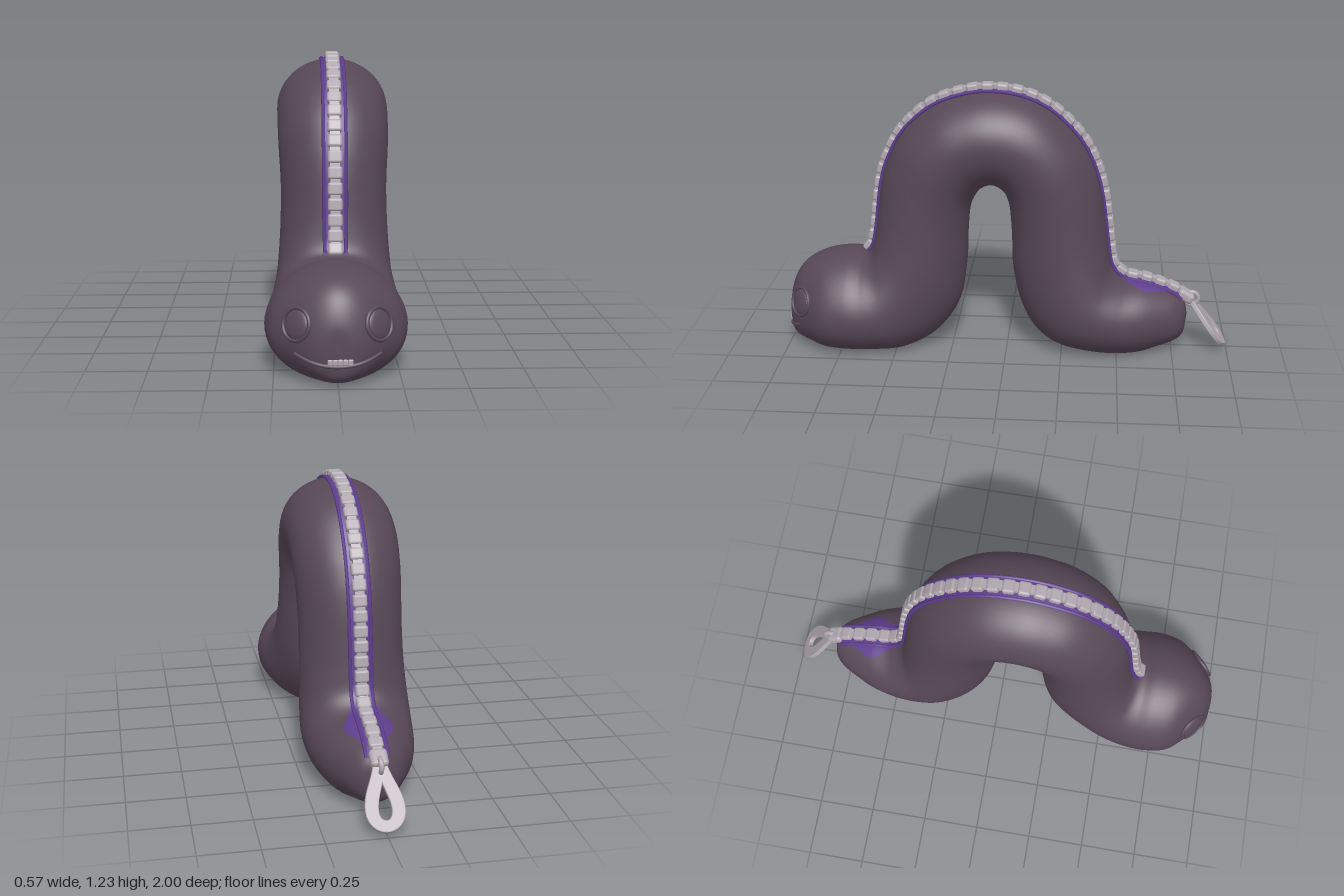
import * as THREE from 'three';
import { RoundedBoxGeometry } from 'three/addons/geometries/RoundedBoxGeometry.js';
import { ParametricGeometry } from 'three/addons/geometries/ParametricGeometry.js';

const mat = (name, color) => Object.assign(new THREE.MeshStandardMaterial({ color }), { name });

// Body cross-sections, head to tail: outer z, outer y, inner z, inner y, half width
const sections = [
  [.997, .15, .997, .14, .004], [.99, .25, .99, .05, .075], [.955, .335, .96, .015, .135],
  [.9, .39, .9, -.005, .195], [.82, .425, .82, -.02, .262], [.72, .44, .72, -.025, .284],
  [.65, .435, .6, -.025, .28], [.61, .47, .46, -.015, .262], [.59, .56, .32, .06, .24],
  [.575, .68, .22, .2, .228], [.56, .78, .185, .38, .222], [.53, .88, .178, .53, .222],
  [.46, 1.01, .165, .66, .23], [.34, 1.12, .13, .735, .235], [.21, 1.175, .1, .76, .237],
  [.08, 1.195, .07, .77, .238], [-.07, 1.175, .04, .76, .237], [-.2, 1.11, .01, .73, .235],
  [-.32, .99, -.01, .66, .23], [-.385, .87, -.02, .53, .225], [-.42, .75, -.025, .39, .224],
  [-.44, .62, -.06, .22, .228], [-.455, .5, -.13, .09, .236], [-.475, .4, -.24, .015, .24],
  [-.53, .345, -.42, -.02, .228], [-.62, .325, -.58, -.02, .195], [-.7, .3, -.69, .01, .15],
  [-.76, .275, -.76, .035, .112], [-.8, .24, -.8, .07, .07], [-.816, .165, -.816, .155, .004],
];
const last = sections.length - 1;
const spline = (pick) => new THREE.CatmullRomCurve3(sections.map(pick), false, 'catmullrom', 0.5);
const outerLine = spline((s) => new THREE.Vector3(0, s[1], s[0]));
const innerLine = spline((s) => new THREE.Vector3(s[4], s[3], s[2]));

// Point on the body skin at angle a (0 = along the spine) and path position v
function skin(a, v, lift, target) {
  const o = outerLine.getPoint(v), i = innerLine.getPoint(v);
  const w = i.x;
  i.x = 0;
  const mid = o.clone().add(i).multiplyScalar(0.5);
  const half = o.sub(mid);
  const c = Math.cos(a);
  const pear = 0.13 * (1 - THREE.MathUtils.smoothstep(v * last, 5, 9));
  target.copy(mid).addScaledVector(half, c * (1 + lift / half.length()));
  target.x = w * Math.sin(a) * (1 - pear * c);
  target.y = Math.max(target.y, 0);
}

export function createModel() {
  const group = new THREE.Group();
  const plum = mat('plum skin', 0x584857);
  const purple = mat('purple tape', 0x5d3c8c);
  const silver = mat('silver metal', 0xb0a8b0);
  const add = (name, geo, material, parent = group) => {
    const m = new THREE.Mesh(geo, material);
    m.name = name;
    parent.add(m);
    return m;
  };

  // Arched body
  const body = add('body', new ParametricGeometry(
    (u, v, t) => skin(u * Math.PI * 2, v, 0, t), 56, 150), plum);

  // Zip tape following the spine, wider above the tail
  const v0 = 6.4 / last, v1 = 27.6 / last;
  const tapeMat = purple;
  tapeMat.side = THREE.DoubleSide;
  add('zipTape', new ParametricGeometry((u, s, t) => {
    const v = v0 + (v1 - v0) * s;
    const k = v * last;
    const width = 0.053 + 0.05 * Math.exp(-(((k - 25) / 0.8) ** 2));
    const w = innerLine.getPoint(v).x;
    skin((u * 2 - 1) * Math.asin(Math.min(width / w, 0.9)), v, 0.008, t);
  }, 10, 130), tapeMat);

  // Raised cords at both sides of the zip
  for (const side of [-1, 1]) {
    const pts = [];
    for (let i = 0; i <= 60; i++) {
      const v = v0 + (v1 - v0) * i / 60, p = new THREE.Vector3();
      skin(side * Math.asin(Math.min(0.045 / innerLine.getPoint(v).x, 0.9)), v, 0.006, p);
      pts.push(p);
    }
    add('zipCord', new THREE.TubeGeometry(new THREE.CatmullRomCurve3(pts), 120, 0.008, 6), purple);
  }

  // Zip teeth with small links between them
  const track = new THREE.CatmullRomCurve3(
    Array.from({ length: 90 }, (_, i) => outerLine.getPoint(v0 + (v1 - v0) * i / 89)));
  const length = track.getLength();
  const count = Math.round(length / 0.063);
  const pitch = length / count;
  const toothGeo = new RoundedBoxGeometry(0.06, 0.036, pitch * 0.83, 2, 0.011);
  const linkGeo = new THREE.BoxGeometry(0.04, 0.024, pitch * 0.4);
  const zip = new THREE.Group();
  zip.name = 'zipTeeth';
  group.add(zip);
  for (let i = 0; i < count * 2; i++) {
    const f = (i + 0.5) / (count * 2);
    const p = track.getPointAt(f), t = track.getTangentAt(f);
    const m = add(i % 2 ? 'link' : 'tooth', i % 2 ? linkGeo : toothGeo, silver, zip);
    m.position.set(0, p.y - t.z * 0.013, p.z + t.y * 0.013);
    m.rotation.x = Math.atan2(t.y, -t.z);
  }

  // Zip slider and teardrop pull hanging behind the tail
  const slider = add('zipSlider', new RoundedBoxGeometry(0.075, 0.05, 0.08, 2, 0.018), silver);
  slider.position.set(0, 0.252, -0.808);
  slider.rotation.x = -0.55;
  const bail = add('pullBail', new THREE.TorusGeometry(0.03, 0.011, 8, 18), silver);
  bail.position.set(0, 0.235, -0.835);
  bail.rotation.y = Math.PI / 2;
  const drop = new THREE.Shape();
  drop.moveTo(-0.026, 0.01);
  drop.lineTo(0.026, 0.01);
  drop.bezierCurveTo(0.04, -0.05, 0.078, -0.1, 0.078, -0.165);
  drop.bezierCurveTo(0.078, -0.215, 0.045, -0.252, 0, -0.252);
  drop.bezierCurveTo(-0.045, -0.252, -0.078, -0.215, -0.078, -0.165);
  drop.bezierCurveTo(-0.078, -0.1, -0.04, -0.05, -0.026, 0.01);
  const hole = new THREE.Path();
  hole.moveTo(0, -0.05);
  hole.bezierCurveTo(-0.015, -0.1, -0.03, -0.13, -0.03, -0.17);
  hole.bezierCurveTo(-0.03, -0.225, 0.03, -0.225, 0.03, -0.17);
  hole.bezierCurveTo(0.03, -0.13, 0.015, -0.1, 0, -0.05);
  drop.holes.push(hole);
  const pull = add('zipPull', new THREE.ExtrudeGeometry(drop, {
    depth: 0.014, bevelEnabled: true, bevelSize: 0.004, bevelThickness: 0.004, bevelSegments: 2, curveSegments: 14,
  }), silver);
  pull.position.set(0, 0.227, -0.843);
  pull.rotation.x = 0.64;

  // Finds the face surface straight behind a point seen from the front
  body.updateMatrixWorld();
  const ray = new THREE.Raycaster();
  const onFace = (x, y) => {
    ray.set(new THREE.Vector3(x, y, 2), new THREE.Vector3(0, 0, -1));
    const hit = ray.intersectObject(body)[0];
    return { point: hit.point, normal: hit.face.normal };
  };

  // Embossed eyes
  for (const x of [-0.16, 0.16]) {
    const { point, normal } = onFace(x, 0.235);
    const eye = new THREE.Group();
    eye.name = x > 0 ? 'leftEye' : 'rightEye';
    eye.position.copy(point);
    eye.lookAt(point.clone().add(normal));
    group.add(eye);
    add('eyeRim', new THREE.TorusGeometry(0.066, 0.008, 8, 32), plum, eye).scale.y = 0.95;
    add('eyeball', new THREE.SphereGeometry(0.057, 24, 14), plum, eye).scale.z = 0.25;
  }

  // Smiling lip and a small row of teeth
  const smile = (x) => 0.1 + 1.3 * x * x;
  const mouthPoints = (from, to, dy) => Array.from({ length: 13 }, (_, i) => {
    const x = from + (to - from) * i / 12;
    return onFace(x, smile(x) + dy).point;
  });
  add('lip', new THREE.TubeGeometry(
    new THREE.CatmullRomCurve3(mouthPoints(-0.165, 0.165, -0.014)), 48, 0.008, 8), plum);
  for (let i = 0; i < 5; i++) {
    const { point, normal } = onFace(-0.031 + i * 0.0195, 0.104);
    const tooth = add('mouthTooth', new RoundedBoxGeometry(0.02, 0.024, 0.014, 2, 0.005), silver);
    tooth.position.copy(point);
    tooth.lookAt(point.clone().add(normal));
  }
  return group;
}
